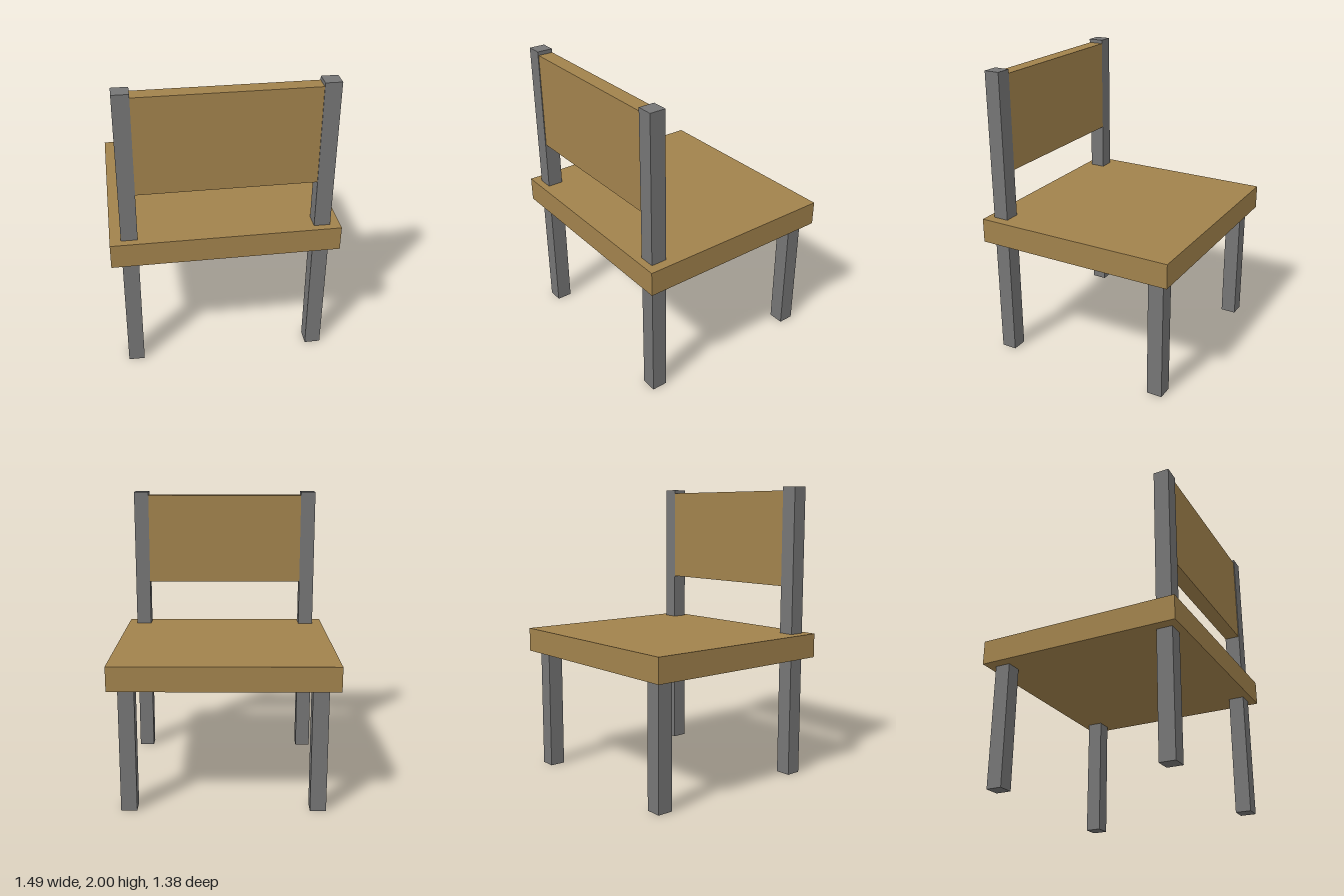
import * as THREE from 'three';

const wood = new THREE.MeshStandardMaterial({ color: 0xa1824c });
const metal = new THREE.MeshStandardMaterial({ color: 0x757575 });

// Box given by its minimum and maximum corners
function box(name, min, max, material) {
  const size = max.map((v, i) => v - min[i]);
  const mesh = new THREE.Mesh(new THREE.BoxGeometry(...size), material);
  mesh.position.set(...max.map((v, i) => (v + min[i]) / 2));
  mesh.name = name;
  return mesh;
}

export function createModel() {
  const chair = new THREE.Group();
  chair.name = 'chair';

  // Seat slab
  const seatBottom = 0.835;
  chair.add(box('seat', [-0.743, seatBottom, -0.692], [0.743, 1, 0.692], wood));

  // Short legs at -z, tall posts carrying the backrest at +z
  const half = 0.053;
  for (const [side, x] of [['left', 0.625], ['right', -0.619]]) {
    chair.add(box(side + 'ShortLeg', [x - half, 0, -0.637], [x + half, seatBottom, -0.531], metal));
    chair.add(box(side + 'BackPost', [x - half, 0, 0.537], [x + half, 2, 0.643], metal));
  }

  // Backrest panel between the posts
  chair.add(box('backrest', [-0.566, 1.326, 0.537], [0.572, 1.975, 0.638], wood));

  return chair;
}
